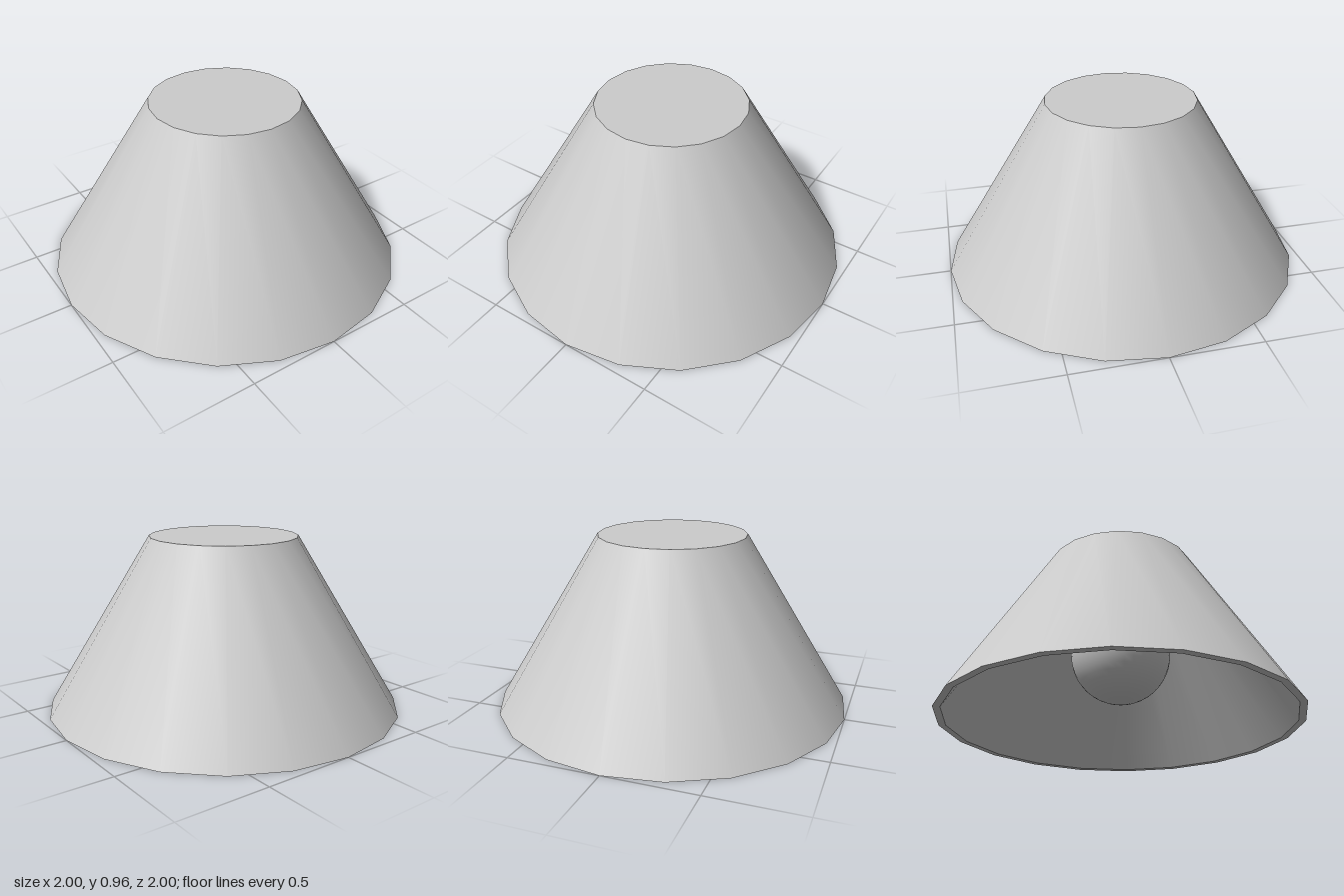
import * as THREE from 'three';

export function createModel() {
  const model = new THREE.Group();
  const material = new THREE.MeshStandardMaterial({ color: 0xcccccc });

  const add = (name, geometry, parent) => {
    const mesh = new THREE.Mesh(geometry, material);
    mesh.name = name;
    parent.add(mesh);
    return mesh;
  };

  // Hollow shade: one closed section, turned span by span so its edges stay sharp
  const shade = new THREE.Group();
  shade.name = 'shade';
  model.add(shade);
  const section = [[0, 0.93], [0.385, 0.93], [0.96, 0], [1, 0], [0.415, 0.965], [0, 0.965]]
    .map(([r, y]) => new THREE.Vector2(r, y));
  const names = ['innerCeiling', 'innerWall', 'bottomRim', 'outerWall', 'topCap'];
  names.forEach((name, i) =>
    add(name, new THREE.LatheGeometry([section[i], section[i + 1]], 20), shade));

  // Round bulb hanging inside the shade
  add('bulb', new THREE.SphereGeometry(0.28, 32, 24), model).position.y = 0.4;

  return model;
}
